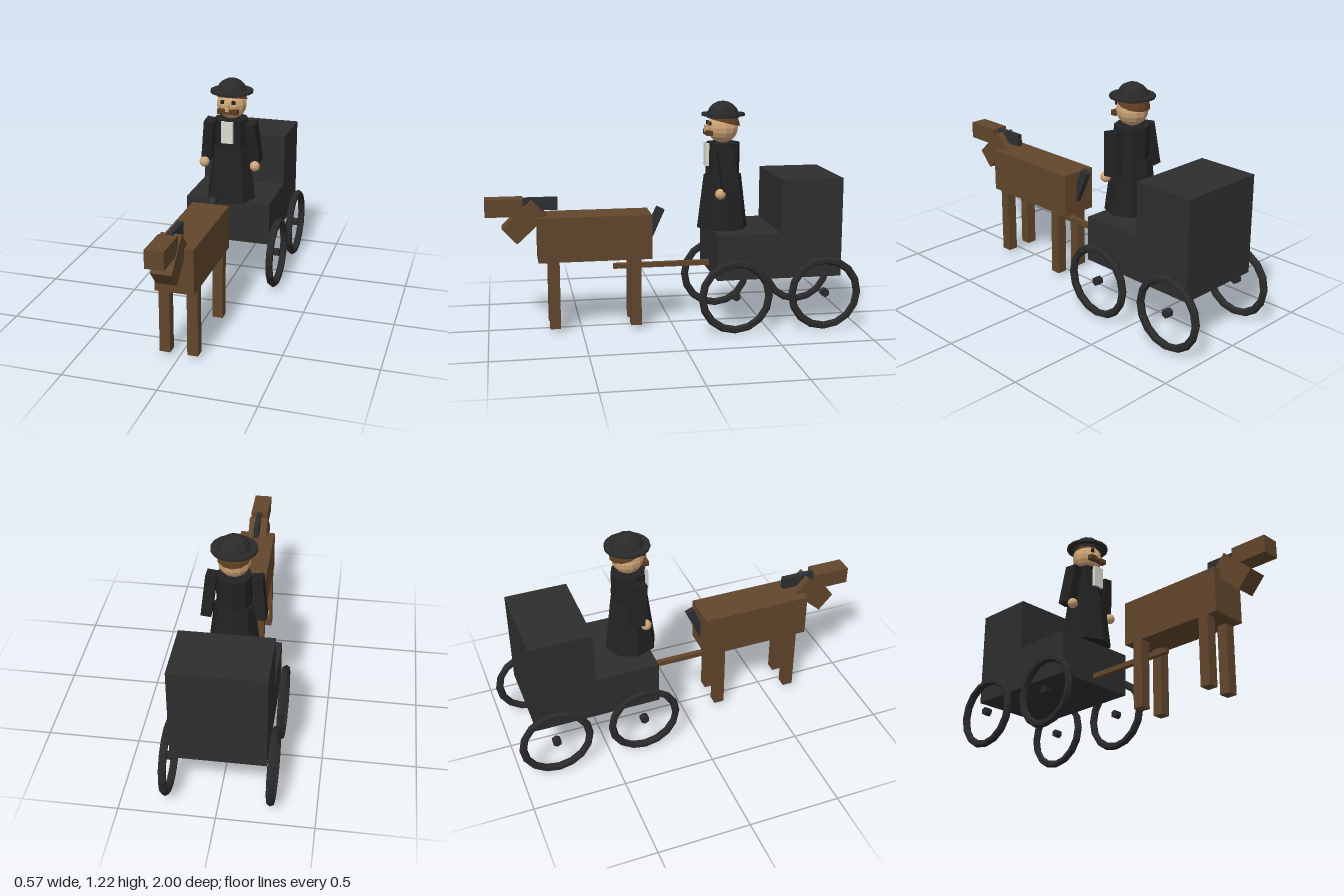
import * as THREE from 'three';

const mat = (name, color) => {
  const m = new THREE.MeshStandardMaterial({ color, flatShading: true });
  m.name = name;
  return m;
};

export function createModel() {
  const charcoal = mat('charcoal', 0x2e2e2e);
  const wheelDark = mat('wheel dark', 0x2a2a2b);
  const coatBlack = mat('coat black', 0x222222);
  const maneGrey = mat('mane grey', 0x2d2f32);
  const horseBrown = mat('horse brown', 0x62462c);
  const hairBrown = mat('hair brown', 0x5c3d20);
  const skin = mat('skin', 0xcfa679);
  const white = mat('shirt white', 0xdcdbd2);

  const model = new THREE.Group();
  model.name = 'horseAndBuggy';
  const group = (name) => {
    const g = new THREE.Group();
    g.name = name;
    model.add(g);
    return g;
  };
  const add = (parent, name, geometry, material, x, y, z) => {
    const mesh = new THREE.Mesh(geometry, material);
    mesh.name = name;
    mesh.position.set(x, y, z);
    parent.add(mesh);
    return mesh;
  };
  const box = (parent, name, material, w, h, d, x, y, z) =>
    add(parent, name, new THREE.BoxGeometry(w, h, d), material, x, y, z);

  // Buggy: low floor box, tall rear cabin and towing pole
  const buggy = group('buggy');
  box(buggy, 'buggyBase', charcoal, 0.486, 0.245, 0.683, 0, 0.4125, -0.552);
  box(buggy, 'buggyCabin', charcoal, 0.486, 0.291, 0.337, 0, 0.6805, -0.725);
  box(buggy, 'pole', horseBrown, 0.027, 0.027, 0.56, 0, 0.334, 0.04);

  // Four spokeless wheels with small hubs
  const rim = new THREE.TorusGeometry(0.182, 0.021, 6, 16).rotateY(Math.PI / 2);
  const hub = new THREE.CylinderGeometry(0.024, 0.024, 0.036, 6).rotateZ(Math.PI / 2).rotateX(Math.PI / 2);
  for (const x of [-0.268, 0.268]) {
    for (const z of [-0.307, -0.797]) {
      add(buggy, 'wheelRim', rim, wheelDark, x, 0.204, z);
      add(buggy, 'wheelHub', hub, wheelDark, x, 0.208, z);
    }
  }

  // Horse
  const horse = group('horse');
  box(horse, 'horseBody', horseBrown, 0.204, 0.242, 0.609, 0, 0.511, 0.4225);
  for (const x of [-0.074, 0.074]) {
    for (const z of [0.206, 0.644]) box(horse, 'horseLeg', horseBrown, 0.057, 0.37, 0.057, x, 0.208, z);
  }
  box(horse, 'horseNeck', horseBrown, 0.107, 0.117, 0.217, 0, 0.602, 0.794).rotation.x = 0.74;
  box(horse, 'horseHead', horseBrown, 0.097, 0.094, 0.2, 0, 0.681, 0.9);
  box(horse, 'mane', maneGrey, 0.028, 0.068, 0.19, 0, 0.693, 0.71);
  box(horse, 'tail', maneGrey, 0.032, 0.24, 0.046, 0, 0.54, 0.107).rotation.x = -0.42;

  // Driver's body
  const driver = group('driver');
  const cz = -0.285;
  add(driver, 'coatSkirt', new THREE.CylinderGeometry(0.104, 0.14, 0.293, 8), coatBlack, 0, 0.6805, cz);
  add(driver, 'coatTorso', new THREE.CylinderGeometry(0.094, 0.094, 0.177, 8), coatBlack, 0, 0.9135, cz);
  box(driver, 'shirtFront', white, 0.065, 0.123, 0.03, 0, 0.939, -0.2);

  // Arms and hands
  for (const s of [-1, 1]) {
    const top = new THREE.Vector3(s * 0.118, 0.985, -0.268);
    const end = new THREE.Vector3(s * 0.143, 0.755, -0.295);
    const mid = top.clone().add(end).multiplyScalar(0.5);
    const arm = box(driver, 'arm', coatBlack, 0.055, top.distanceTo(end), 0.08, mid.x, mid.y, mid.z);
    arm.quaternion.setFromUnitVectors(new THREE.Vector3(0, 1, 0), top.sub(end).normalize());
    add(driver, 'hand', new THREE.SphereGeometry(0.029, 10, 8), skin, s * 0.147, 0.741, -0.243);
    box(driver, 'eye', coatBlack, 0.019, 0.02, 0.012, s * 0.032, 1.107, -0.207);
  }

  // Head, face and hair
  add(driver, 'head', new THREE.SphereGeometry(0.085, 12, 10), skin, 0, 1.084, cz);
  box(driver, 'nose', skin, 0.02, 0.04, 0.03, 0, 1.078, -0.199);
  box(driver, 'moustache', hairBrown, 0.116, 0.026, 0.032, 0, 1.056, -0.204);
  const hairCap = new THREE.SphereGeometry(0.091, 12, 6, 0, Math.PI * 2, 0, Math.acos(0.3));
  add(driver, 'hair', hairCap, hairBrown, 0, 1.084, cz - 0.004).rotation.x = -0.24;

  // Round hat
  add(driver, 'hatBrim', new THREE.CylinderGeometry(0.119, 0.119, 0.013, 16), wheelDark, 0, 1.154, cz);
  const dome = new THREE.SphereGeometry(0.09, 10, 5, 0, Math.PI * 2, 0, Math.PI / 2);
  add(driver, 'hatCrown', dome, wheelDark, 0, 1.136, cz);

  return model;
}
